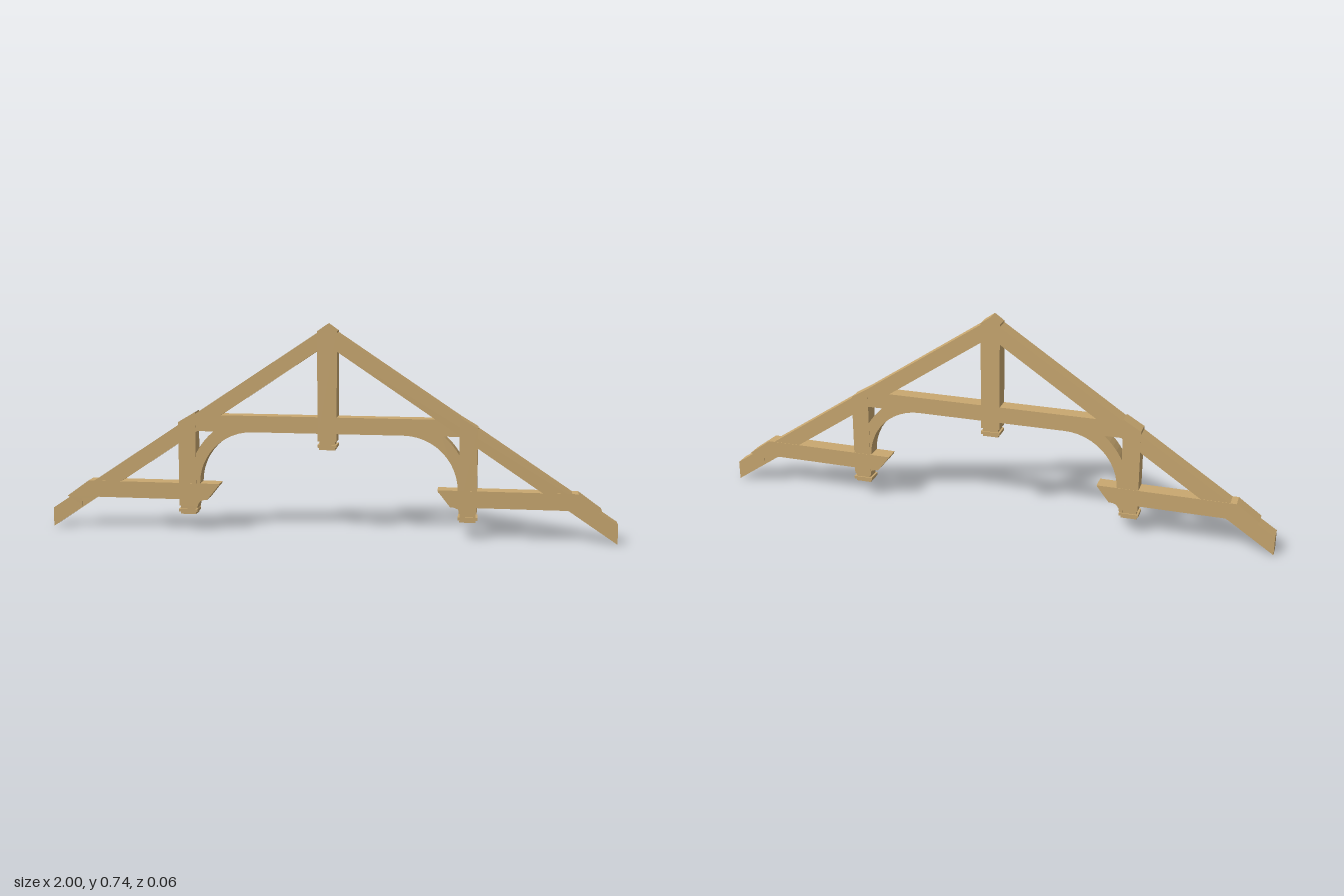
import * as THREE from 'three';

export function createModel() {
  const model = new THREE.Group();
  model.name = 'roofTruss';
  const timber = new THREE.MeshStandardMaterial({ color: 0xc9a870 });
  timber.name = 'timber';

  // Timber cut from an outline; side = -1 mirrors it across x = 0
  function plank(name, points, side = 1, depth = 0.054) {
    const shape = new THREE.Shape(points.map(([x, y]) => new THREE.Vector2(x * side, y)));
    const geometry = new THREE.ExtrudeGeometry(shape, { depth, bevelEnabled: false });
    geometry.translate(0, 0, -depth / 2);
    const mesh = new THREE.Mesh(geometry, timber);
    mesh.name = name;
    model.add(mesh);
  }

  // Stepped pendant under a post: [half width, half depth, bottom, top]
  function pendant(name, x, y) {
    const group = new THREE.Group();
    group.name = name;
    const steps = [
      [0.027, 0.024, -0.012, 0],
      [0.034, 0.028, -0.022, -0.012],
      [0.028, 0.023, -0.031, -0.022],
    ];
    for (const [w, d, bottom, top] of steps) {
      const step = new THREE.Mesh(new THREE.BoxGeometry(2 * w, top - bottom, 2 * d), timber);
      step.position.set(x, y + (top + bottom) / 2, 0);
      step.name = 'pendantStep';
      group.add(step);
    }
    model.add(group);
  }

  // Points on a circular arc
  function arc(cx, cy, r, from, to, n = 12) {
    return Array.from({ length: n + 1 }, (_, i) => {
      const a = from + (to - from) * i / n;
      return [cx + r * Math.cos(a), cy + r * Math.sin(a)];
    });
  }

  // King post, with its peak above the rafters
  plank('kingPost', [[-0.034, 0.333], [0.034, 0.333], [0.034, 0.717], [0, 0.741], [-0.034, 0.717]]);
  pendant('kingPendant', 0, 0.333);

  // Collar beam
  plank('collarBeam', [[-0.5, 0.36], [0.5, 0.36], [0.5, 0.395], [0.463, 0.418], [-0.463, 0.418], [-0.5, 0.395]],
    1, 0.053);

  for (const side of [-1, 1]) {
    const post = side < 0 ? 0.5 : 0.49;

    // Sloping rafter with plumb-cut tail
    plank('rafter', [[0, 0.67], [1, 0], [1, 0.068], [0, 0.734]], side);

    // Queen post reaching up to the roof line
    plank('queenPost', [[post - 0.031, 0.09], [post + 0.031, 0.09], [post + 0.031, 0.391],
      [post - 0.031, 0.428]], side, 0.055);
    pendant('queenPendant', side * post, 0.09);

    // Hammer beam: sloped outer end and notch over the rafter tail
    plank('hammerBeam', [[0.385, 0.172], [0.395, 0.157], [0.43, 0.113], [0.83, 0.113], [0.845, 0.106],
      [0.89, 0.106], [0.89, 0.078], [0.945, 0.114], [0.865, 0.172]], side, 0.057);

    // Moulded corbel under the inner end of the beam
    plank('corbel', [[0.385, 0.172], [0.388, 0.163], [0.408, 0.159], [0.41, 0.15],
      ...arc(0.405, 0.113, 0.033, Math.PI / 2, 0, 5),
      [0.455, 0.107], [0.464, 0.095], [0.467, 0.08], [0.48, 0.08], [0.48, 0.172]], side, 0.052);

    // Curved brace between queen post and collar beam
    plank('curvedBrace', [
      ...arc(0.265, 0.17, 0.19, 0, Math.PI / 2),
      [0.265, 0.375], [0.395, 0.375],
      ...arc(0.235, 0.16, 0.262, 0.91, 0.46, 6),
      [0.48, 0.26], [0.48, 0.17],
    ], side, 0.052);
  }

  return model;
}
